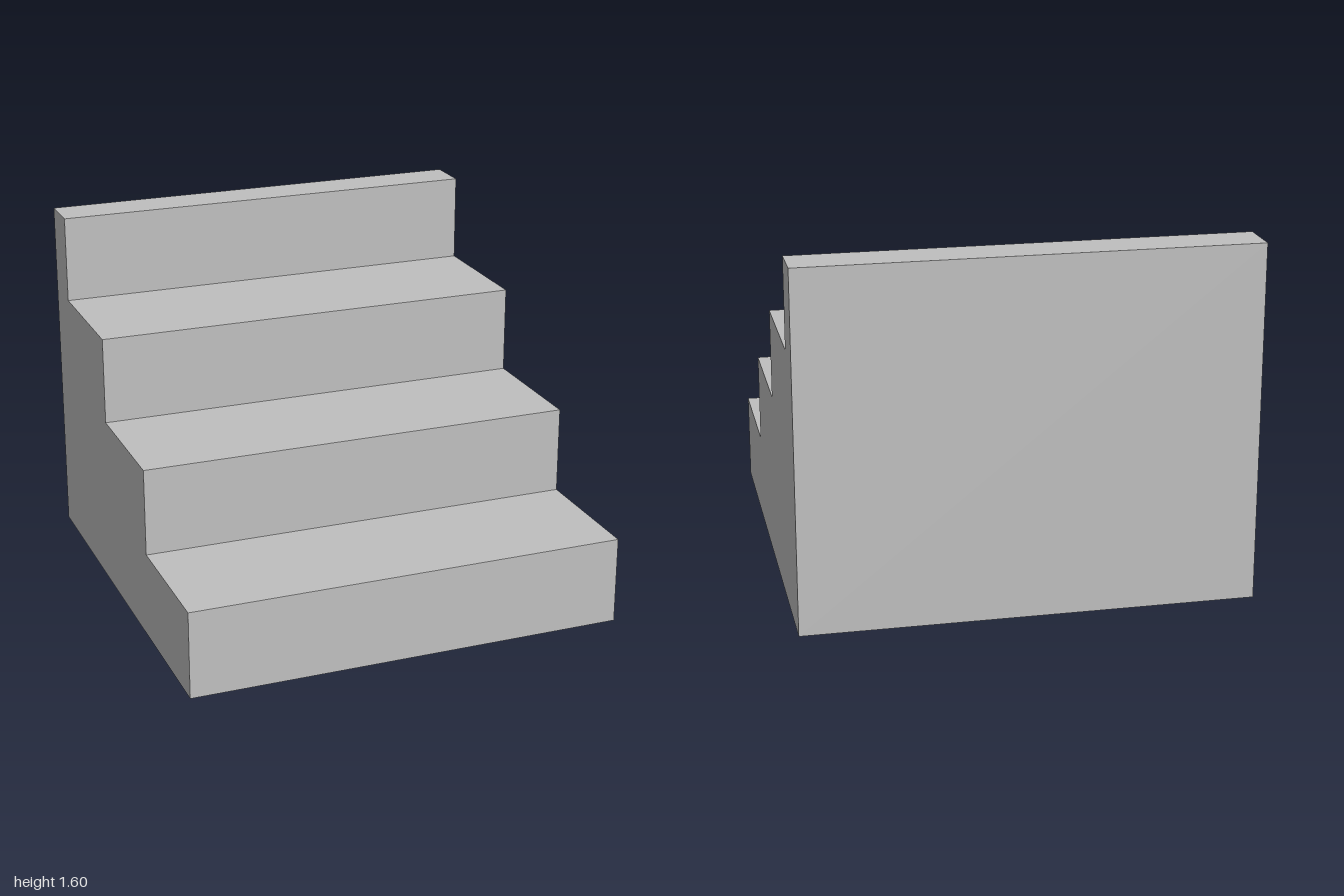
import * as THREE from 'three';

export function createModel() {
  const model = new THREE.Group();
  model.name = 'staircase';
  const stone = new THREE.MeshStandardMaterial({ color: 0xbfbfbf });
  stone.name = 'light grey';

  const width = 2, rise = 0.4, run = 0.6, steps = 4;

  // Stepped side profile, climbing from the front edge to the back wall
  const profile = new THREE.Shape();
  profile.moveTo(-1, 0);
  for (let i = 0; i < steps; i++) {
    const top = (i + 1) * rise;
    profile.lineTo(-1 + i * run, top);
    profile.lineTo(Math.min(-1 + (i + 1) * run, 1), top);
  }
  profile.lineTo(1, 0);
  profile.closePath();

  // Sweep the profile across the width, with the low step facing +z
  const geometry = new THREE.ExtrudeGeometry(profile, { depth: width, bevelEnabled: false });
  geometry.translate(0, 0, -width / 2);
  geometry.rotateY(Math.PI / 2);

  const stairs = new THREE.Mesh(geometry, stone);
  stairs.name = 'steps';
  model.add(stairs);
  return model;
}
